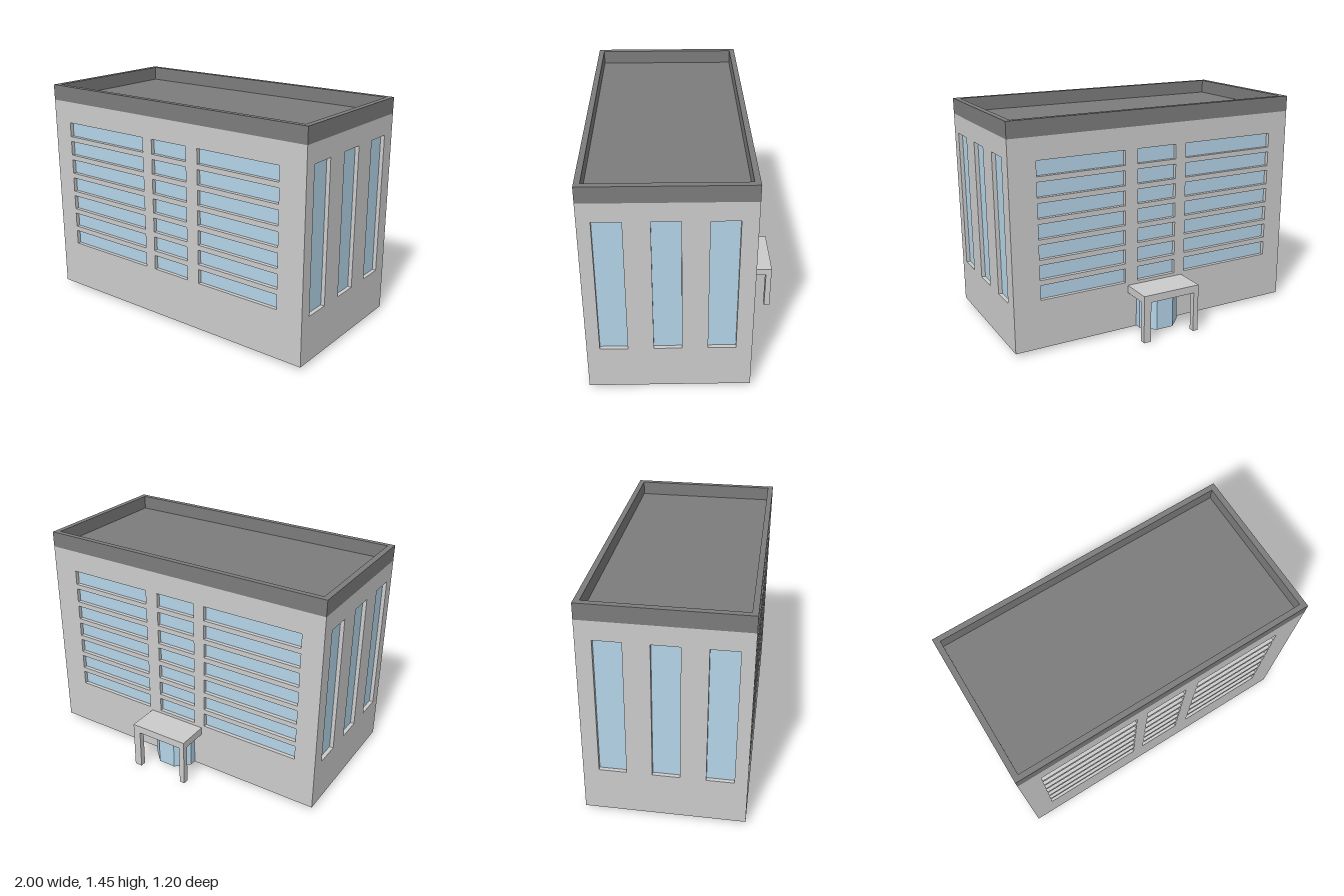
import * as THREE from 'three';

const wallMat = new THREE.MeshStandardMaterial({ color: 0xcccccc });
const darkMat = new THREE.MeshStandardMaterial({ color: 0x7c7c7c });
const glassMat = new THREE.MeshStandardMaterial({ color: 0xb4d4e8 });

const Y0 = 0.022, Y1 = 1.345, TOP = 1.447; // wall base, wall top, parapet top
const BACK = -0.393, FRONT = 0.6, T = 0.025; // facade planes and recess depth
const MID = (BACK + FRONT) / 2, DEPTH = FRONT - BACK;

function add(parent, name, geometry, material) {
  const mesh = new THREE.Mesh(geometry, material);
  mesh.name = name;
  parent.add(mesh);
  return mesh;
}

// Box given by its minimum and maximum on each axis
function boxBetween(parent, name, material, x0, x1, y0, y1, z0, z1) {
  const mesh = add(parent, name, new THREE.BoxGeometry(x1 - x0, y1 - y0, z1 - z0), material);
  mesh.position.set((x0 + x1) / 2, (y0 + y1) / 2, (z0 + z1) / 2);
  return mesh;
}

function trace(path, x0, x1, y0, y1) {
  path.moveTo(x0, y0);
  path.lineTo(x1, y0);
  path.lineTo(x1, y1);
  path.lineTo(x0, y1);
  path.closePath();
  return path;
}

// Wall panel with openings and glass set behind it; outer face at local z = 0
function facade(name, halfWidth, windows) {
  const group = new THREE.Group();
  group.name = name;
  const shape = trace(new THREE.Shape(), -halfWidth, halfWidth, Y0, Y1);
  for (const [x0, x1, y0, y1] of windows) {
    shape.holes.push(trace(new THREE.Path(), x0, x1, y0, y1));
    const pane = add(group, 'windowPane', new THREE.PlaneGeometry(x1 - x0, y1 - y0), glassMat);
    pane.position.set((x0 + x1) / 2, (y0 + y1) / 2, -T);
  }
  const panel = new THREE.ExtrudeGeometry(shape, { depth: T, bevelEnabled: false });
  panel.translate(0, 0, -T);
  add(group, 'wallPanel', panel, wallMat);
  return group;
}

const mirrored = (windows) => windows.map(([x0, x1, y0, y1]) => [-x1, -x0, y0, y1]);

export function createModel() {
  const model = new THREE.Group();
  model.name = 'officeBuilding';

  // Seven storeys of ribbon windows in three columns, front and back
  const ribbons = [];
  for (let row = 0; row < 7; row++) {
    const y = 0.338 + row * 0.1285;
    for (const [x0, x1] of [[-0.86, -0.197], [-0.122, 0.154], [0.242, 0.826]]) {
      ribbons.push([x0, x1, y, y + 0.095]);
    }
  }
  const front = facade('frontWall', 1, ribbons);
  front.position.z = FRONT;
  const back = facade('backWall', 1, mirrored(ribbons));
  back.rotation.y = Math.PI;
  back.position.z = BACK;

  // Three tall windows on each end wall
  const tall = [0.114, -0.21, -0.535].map((z) => {
    const c = z + 0.323 - MID;
    return [c - 0.084, c + 0.084, 0.318, 1.224];
  });
  const left = facade('leftWall', DEPTH / 2 - T, mirrored(tall));
  left.rotation.y = Math.PI / 2;
  left.position.set(1, 0, MID);
  const right = facade('rightWall', DEPTH / 2 - T, tall);
  right.rotation.y = -Math.PI / 2;
  right.position.set(-1, 0, MID);
  model.add(front, back, left, right);

  // Underside and roof deck
  boxBetween(model, 'floor', wallMat, -1 + T, 1 - T, Y0, Y0 + 0.03, BACK + T, FRONT - T);
  boxBetween(model, 'roofDeck', darkMat, -0.97, 0.97, Y1 - 0.02, Y1 + 0.012, BACK + 0.03, FRONT - 0.03);

  // Parapet ring around the roof
  const ring = trace(new THREE.Shape(), -1, 1, -DEPTH / 2, DEPTH / 2);
  ring.holes.push(trace(new THREE.Path(), -0.963, 0.963, -DEPTH / 2 + 0.035, DEPTH / 2 - 0.035));
  const parapet = new THREE.ExtrudeGeometry(ring, { depth: TOP - Y1, bevelEnabled: false });
  parapet.rotateX(-Math.PI / 2);
  add(model, 'parapet', parapet, darkMat).position.set(0, Y1, MID);

  // Rear entrance: octagonal glass lobby under a canopy on two posts
  const entrance = new THREE.Group();
  entrance.name = 'entrance';
  const lobby = new THREE.CylinderGeometry(0.153, 0.153, 0.238, 8);
  lobby.rotateY(Math.PI / 8);
  const glassMatFlat = glassMat.clone();
  glassMatFlat.flatShading = true;
  add(entrance, 'glassLobby', lobby, glassMatFlat).position.set(0.022, 0.144, -0.378);
  boxBetween(entrance, 'canopy', wallMat, -0.177, 0.225, 0.267, 0.317, -0.604, BACK);
  for (const [x0, x1] of [[-0.177, -0.142], [0.175, 0.225]]) {
    boxBetween(entrance, 'canopyPost', wallMat, x0, x1, 0, 0.267, -0.604, -0.566);
  }
  model.add(entrance);

  return model;
}
